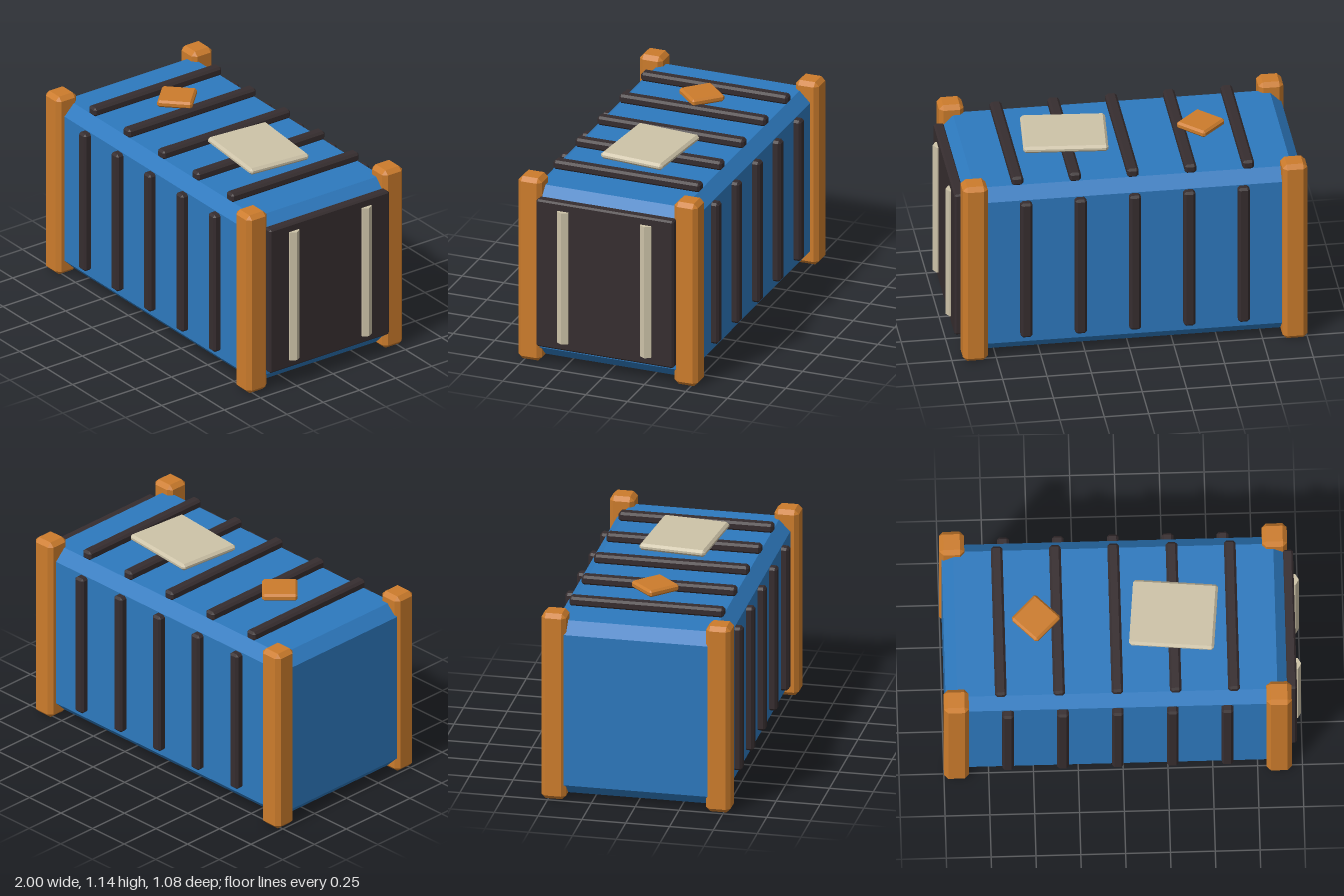
import * as THREE from 'three';
import { ConvexGeometry } from 'three/addons/geometries/ConvexGeometry.js';

const material = (name, color) => {
  const m = new THREE.MeshStandardMaterial({ color });
  m.name = name;
  return m;
};

// Box with every edge cut by a flat chamfer c
function chamferBox(w, h, d, c) {
  const points = [];
  for (const x of [-1, 1]) for (const y of [-1, 1]) for (const z of [-1, 1]) {
    const [a, b, e] = [w / 2, h / 2, d / 2];
    points.push(
      new THREE.Vector3(x * a, y * (b - c), z * (e - c)),
      new THREE.Vector3(x * (a - c), y * b, z * (e - c)),
      new THREE.Vector3(x * (a - c), y * (b - c), z * e)
    );
  }
  return new ConvexGeometry(points);
}

export function createModel() {
  const blue = material('blue paint', 0x2d79be);
  const orange = material('orange paint', 0xcc7c2c);
  const dark = material('dark metal', 0x362d2f);
  const cream = material('cream metal', 0xcdc3a8);

  const group = new THREE.Group();
  group.name = 'cargoContainer';
  const add = (name, geometry, mat, x, y, z, turn = 0) => {
    const mesh = new THREE.Mesh(geometry, mat);
    mesh.name = name;
    mesh.position.set(x, y, z);
    mesh.rotation.y = turn;
    group.add(mesh);
  };

  const middle = -0.03; // the hull sits left of centre, leaving room for the door

  add('hull', chamferBox(1.915, 1.032, 0.99, 0.065), blue, middle, 0.54, 0);

  // Corner posts
  const post = chamferBox(0.14, 1.112, 0.14, 0.024);
  for (const sx of [-1, 1]) for (const sz of [-1, 1]) {
    add('cornerPost', post, orange, middle + sx * 0.9, 0.556, sz * 0.469);
  }

  // Ribs on both long sides and across the roof
  const sideRib = chamferBox(0.065, 0.857, 0.07, 0.013);
  const roofRib = chamferBox(0.065, 0.054, 0.882, 0.013);
  for (let i = -2; i <= 2; i++) {
    for (const sz of [-1, 1]) add('sideRib', sideRib, dark, middle + i * 0.306, 0.559, sz * 0.503);
    add('roofRib', roofRib, dark, middle + i * 0.325, 1.081, 0);
  }

  // Door with two six-sided locking bars
  add('door', chamferBox(0.06, 0.897, 0.826, 0.01), dark, 0.942, 0.559, 0);
  const bar = new THREE.CylinderGeometry(0.038, 0.038, 0.8, 6).toNonIndexed();
  bar.computeVertexNormals();
  for (const sz of [-1, 1]) add('lockingBar', bar, cream, 0.962, 0.56, sz * 0.249, Math.PI / 2);

  // Plates lying on the roof ribs
  add('roofPanel', chamferBox(0.475, 0.04, 0.385, 0.014), cream, 0.295, 1.12, 0, -0.09);
  add('roofHatch', chamferBox(0.198, 0.042, 0.198, 0.012), orange, -0.473, 1.121, 0, -0.78);

  return group;
}
